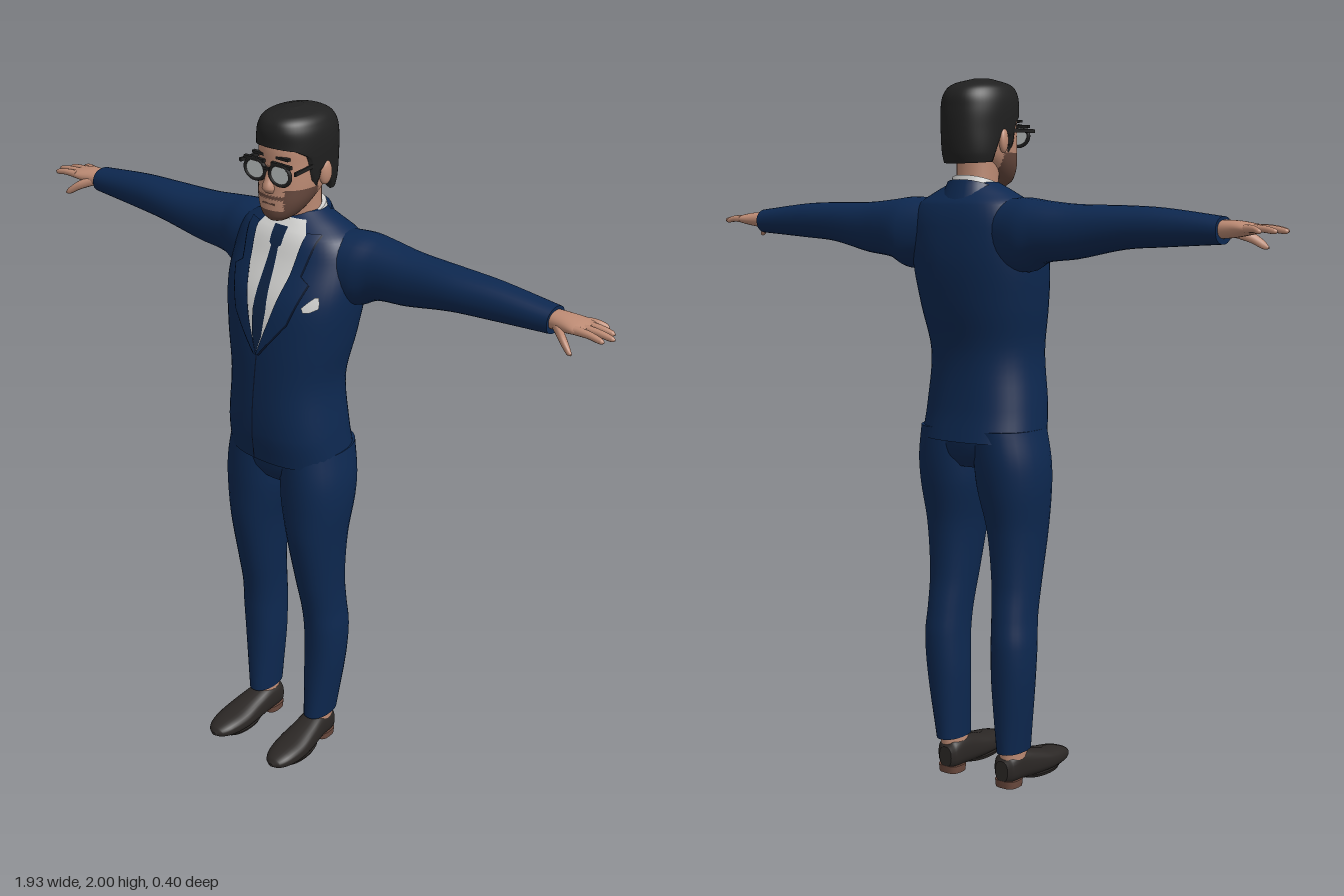
import * as THREE from 'three';

const paint = (name, color) => {
  const m = new THREE.MeshStandardMaterial({ color, side: THREE.DoubleSide });
  m.name = name;
  return m;
};

// Smooth interpolation of rows [t, centreU, centreV, radiusU, radiusV, power] at t
function rowAt(rows, t) {
  let i = 0;
  while (i < rows.length - 2 && t > rows[i + 1][0]) i++;
  const a = rows[i], b = rows[i + 1], h = b[0] - a[0], s = (t - a[0]) / h;
  const slope = (k, c) => {
    const p = rows[Math.max(k - 1, 0)], n = rows[Math.min(k + 1, rows.length - 1)];
    return ((n[c] ?? 2.2) - (p[c] ?? 2.2)) / (n[0] - p[0]);
  };
  return [t, 1, 2, 3, 4, 5].map((v, c) => {
    if (c === 0) return t;
    const s2 = s * s, s3 = s2 * s;
    return (2 * s3 - 3 * s2 + 1) * (a[c] ?? 2.2) + (s3 - 2 * s2 + s) * h * slope(i, c)
      + (3 * s2 - 2 * s3) * (b[c] ?? 2.2) + (s3 - s2) * h * slope(i + 1, c);
  });
}

// Rounded skin over cross-sections along an axis; side -1 mirrors it, map bends it, keep picks faces
function loft(rows, axis, { side = 1, seg = 28, steps = 5, map, keep, caps = true } = {}) {
  const pos = [], idx = [], v = new THREE.Vector3();
  const place = (t, u, w) => {
    if (axis === 'y') v.set(u, t, w);
    else if (axis === 'x') v.set(t, u, w);
    else v.set(u, w, t);
    if (map) map(v);
    pos.push(v.x * side, v.y, v.z);
  };
  const flip = (axis !== 'y') !== (side < 0);
  const tri = (a, b, c) => {
    if (keep) {
      const mid = k => (pos[a * 3 + k] + pos[b * 3 + k] + pos[c * 3 + k]) / 3;
      if (!keep(mid(0), mid(1), mid(2))) return;
    }
    flip ? idx.push(a, c, b) : idx.push(a, b, c);
  };
  const ring = r => {
    const [t, cu, cv, ru, rv, p] = r;
    for (let j = 0; j < seg; j++) {
      const a = j / seg * Math.PI * 2, c = Math.cos(a), s = Math.sin(a);
      place(t, cu + Math.max(ru, 0.001) * Math.sign(c) * Math.abs(c) ** (2 / p),
        cv + Math.max(rv, 0.001) * Math.sign(s) * Math.abs(s) ** (2 / p));
    }
  };
  const n = (rows.length - 1) * steps, samples = [];
  for (let i = 0; i <= n; i++) {
    const k = Math.min(Math.floor(i / steps), rows.length - 2), f = i / steps - k;
    samples.push(rowAt(rows, rows[k][0] + (rows[k + 1][0] - rows[k][0]) * f));
  }
  samples.forEach(ring);
  for (let i = 0; i < n; i++) for (let j = 0; j < seg; j++) {
    const k = (j + 1) % seg, a = i * seg, b = a + seg;
    tri(a + j, b + j, a + k);
    tri(b + j, b + k, a + k);
  }
  if (caps) for (const end of [0, n]) {
    const base = pos.length / 3, r = samples[end];
    ring(r);
    place(r[0], r[1], r[2]);
    for (let j = 0; j < seg; j++) {
      const k = (j + 1) % seg;
      end ? tri(base + j, base + seg, base + k) : tri(base + j, base + k, base + seg);
    }
  }
  const g = new THREE.BufferGeometry();
  g.setAttribute('position', new THREE.Float32BufferAttribute(pos, 3));
  g.setIndex(idx);
  g.computeVertexNormals();
  return g;
}

const TORSO = [[1.008, 0, -0.04, 0.183, 0.14, 2.4], [1.1, 0, -0.025, 0.175, 0.14, 2.4], [1.25, 0, -0.022, 0.163, 0.138, 2.3],
  [1.38, 0, -0.038, 0.185, 0.148, 2.3], [1.5, 0, -0.055, 0.2, 0.145, 2.4], [1.6, 0, -0.075, 0.195, 0.12, 2.5],
  [1.66, 0, -0.08, 0.175, 0.1, 2.4], [1.69, 0, -0.08, 0.13, 0.078, 2.2], [1.72, 0, -0.08, 0.07, 0.055, 2]];

// Thin cloth panel lying on the chest, from rows [y, x from, x to]
function drape(rows, off, side = 1) {
  const pos = [], idx = [], cols = 8, steps = 6, n = (rows.length - 1) * steps;
  for (let i = 0; i <= n; i++) {
    const k = Math.min(Math.floor(i / steps), rows.length - 2), f = i / steps - k;
    const [y, x0, x1] = rows[k].map((v, c) => v + (rows[k + 1][c] - v) * f);
    const [, , cz, rx, rz, p] = rowAt(TORSO, y);
    for (let j = 0; j <= cols; j++) {
      const x = x0 + (x1 - x0) * j / cols;
      pos.push(x * side, y, cz + rz * Math.max(0, 1 - Math.abs(x / rx) ** p) ** (1 / p) + off);
      if (i < n && j < cols) {
        const a = i * (cols + 1) + j, b = a + cols + 1;
        side > 0 ? idx.push(a, a + 1, b, a + 1, b + 1, b) : idx.push(a, b, a + 1, a + 1, b, b + 1);
      }
    }
  }
  const g = new THREE.BufferGeometry();
  g.setAttribute('position', new THREE.Float32BufferAttribute(pos, 3));
  g.setIndex(idx);
  g.computeVertexNormals();
  return g;
}

export function createModel() {
  const model = new THREE.Group();
  const suit = paint('navy suit', 0x0d2850), seam = paint('dark seam', 0x07152c), tieBlue = paint('tie blue', 0x0f2444);
  const shirt = paint('white shirt', 0xd6d6d4), skin = paint('skin', 0xbd8b74), beard = paint('stubble', 0x66483d);
  const hair = paint('black hair', 0x202020), shoe = paint('shoe leather', 0x2b2725), sole = paint('brown sole', 0x6a493d);
  const glass = paint('pale lens', 0xc4c9c9);
  const add = (name, geometry, material, x = 0, y = 0, z = 0) => {
    const m = new THREE.Mesh(geometry, material);
    m.name = name;
    m.position.set(x, y, z);
    model.add(m);
    return m;
  };
  const tilt = k => v => { v.y -= k * (v.z + 0.072); };

  // Jacket body, collars and neck
  add('jacket', loft(TORSO, 'y', { seg: 48 }), suit);
  add('jacketCollar', loft([[1.63, 0, -0.074, 0.11, 0.1], [1.7, 0, -0.072, 0.08, 0.08]], 'y', { map: tilt(0.35) }), suit);
  add('shirtCollar', loft([[1.66, 0, -0.072, 0.08, 0.08], [1.72, 0, -0.072, 0.066, 0.066]], 'y', { map: tilt(0.3) }), shirt);
  add('neck', loft([[1.62, 0, -0.075, 0.058, 0.06], [1.72, 0, -0.07, 0.056, 0.056], [1.81, 0, -0.06, 0.06, 0.065]], 'y'), skin);

  // Shirt front, tie, lapels and pocket square
  add('shirtFront', drape([[1.355, 0, 0], [1.4, -0.022, 0.022], [1.5, -0.052, 0.052], [1.6, -0.078, 0.078],
    [1.67, -0.084, 0.084], [1.705, -0.06, 0.06]], 0.003), shirt);
  add('tie', drape([[1.355, -0.002, 0.002], [1.4, -0.016, 0.016], [1.47, -0.022, 0.022], [1.635, -0.012, 0.012],
    [1.64, -0.02, 0.02], [1.685, -0.022, 0.022]], 0.006), tieBlue);
  const lapel = [[1.345, 0, 0.006], [1.45, 0.036, 0.088], [1.56, 0.067, 0.126], [1.578, 0.071, 0.1], [1.68, 0.083, 0.118]];
  for (const s of [1, -1]) {
    add('lapelEdge', drape(lapel.map(([y, a, b]) => [y - 0.002, a, b + 0.004]), 0.004, s), seam);
    add('lapel', drape(lapel, 0.007, s), suit);
  }
  add('frontOpening', drape([[1.01, -0.024, -0.02], [1.2, -0.014, -0.01], [1.345, -0.002, 0.002]], 0.002), seam);
  add('pocketSquare', drape([[1.488, 0.128, 0.142], [1.5, 0.122, 0.162], [1.515, 0.135, 0.162], [1.53, 0.15, 0.158]], 0.005), shirt);
  add('hips', loft([[0.93, 0, -0.035, 0.1, 0.085], [0.97, 0, -0.038, 0.175, 0.11], [1.05, 0, -0.04, 0.175, 0.12]], 'y'), suit);

  for (const side of [1, -1]) {
    const o = { side };
    // Sleeve and hand
    add('sleeve', loft([[0.1, 1.585, -0.085, 0.09, 0.085], [0.2, 1.58, -0.1, 0.1, 0.09], [0.26, 1.59, -0.105, 0.083, 0.08],
      [0.36, 1.592, -0.1, 0.072, 0.07], [0.5, 1.605, -0.093, 0.057, 0.062], [0.62, 1.607, -0.095, 0.05, 0.053],
      [0.79, 1.603, -0.098, 0.035, 0.042]], 'x', o), suit);
    add('palm', loft([[0.77, 1.605, -0.098, 0.024, 0.03], [0.82, 1.607, -0.096, 0.022, 0.037], [0.86, 1.608, -0.096, 0.016, 0.045],
      [0.888, 1.608, -0.097, 0.009, 0.042]], 'x', o), skin);
    for (const [tip, z0, z1] of [[0.95, -0.064, -0.058], [0.963, -0.087, -0.087], [0.947, -0.109, -0.115], [0.917, -0.129, -0.14]]) {
      add('finger', loft([[0.865, 1.609, z0, 0.011, 0.012], [(0.865 + tip) / 2, 1.609, (z0 + z1) / 2, 0.009, 0.01],
        [tip - 0.008, 1.604, z1, 0.007, 0.007], [tip, 1.603, z1, 0.002, 0.002]], 'x', { side, seg: 12 }), skin);
    }
    add('thumb', loft([[0.8, 1.602, -0.08, 0.014, 0.014], [0.84, 1.586, -0.05, 0.014, 0.013], [0.868, 1.567, -0.034, 0.011, 0.009],
      [0.88, 1.56, -0.03, 0.003, 0.003]], 'x', { side, seg: 12 }), skin);

    // Trouser leg, ankle and shoe
    add('trouserLeg', loft([[0.105, 0.11, -0.045, 0.038, 0.063], [0.3, 0.117, -0.057, 0.057, 0.068], [0.42, 0.12, -0.058, 0.06, 0.073],
      [0.5, 0.116, -0.05, 0.059, 0.074], [0.6, 0.112, -0.035, 0.064, 0.08], [0.75, 0.108, -0.025, 0.078, 0.098],
      [0.87, 0.102, -0.033, 0.097, 0.113], [0.95, 0.099, -0.038, 0.099, 0.119], [1.04, 0.09, -0.042, 0.092, 0.12]], 'y', o), suit);
    add('ankle', loft([[0.06, 0.106, -0.045, 0.034, 0.045], [0.13, 0.109, -0.045, 0.034, 0.048]], 'y', o), skin);
    add('shoe', loft([[-0.095, 0.103, 0.05, 0.022, 0.03, 2.5], [-0.08, 0.104, 0.056, 0.036, 0.042, 2.6], [-0.03, 0.105, 0.058, 0.04, 0.046, 2.6],
      [0.03, 0.11, 0.05, 0.046, 0.04, 2.6], [0.09, 0.113, 0.043, 0.051, 0.032, 2.5], [0.15, 0.115, 0.04, 0.044, 0.025, 2.4],
      [0.185, 0.116, 0.038, 0.028, 0.015, 2.2], [0.198, 0.116, 0.036, 0.008, 0.005, 2]], 'z', o), shoe);
    add('heel', loft([[0, 0.104, -0.06, 0.034, 0.034, 3], [0.022, 0.104, -0.06, 0.036, 0.036, 3]], 'y', { side, steps: 1 }), sole);
    add('outsole', loft([[0.008, 0.112, 0.075, 0.042, 0.075], [0.018, 0.112, 0.075, 0.046, 0.085]], 'y', { side, steps: 1 }), shoe);
  }

  // Head, with stubble along the jaw, chin and upper lip
  const HEAD = [[1.71, 0, 0.018, 0.024, 0.03], [1.725, 0, 0.01, 0.046, 0.05], [1.76, 0, -0.01, 0.069, 0.072], [1.8, 0, -0.035, 0.08, 0.095],
    [1.86, 0, -0.05, 0.084, 0.108], [1.92, 0, -0.055, 0.083, 0.11], [1.96, 0, -0.06, 0.07, 0.09], [1.98, 0, -0.06, 0.03, 0.04]];
  const isBeard = (x, y, z) => z > -0.05 && (Math.abs(x) > 0.042 ? y < 1.8 : y < 1.742 || (y > 1.772 && y < 1.783 && z > 0));
  const fine = { seg: 56, steps: 8 };
  add('face', loft(HEAD, 'y', { ...fine, keep: (x, y, z) => !isBeard(x, y, z) }), skin);
  add('stubble', loft(HEAD, 'y', { ...fine, keep: isBeard }), beard);
  add('mouth', new THREE.BoxGeometry(0.04, 0.004, 0.008), beard, 0, 1.76, 0.058);
  add('nose', loft([[1.79, 0, 0.056, 0.014, 0.01], [1.803, 0, 0.058, 0.018, 0.02], [1.83, 0, 0.056, 0.011, 0.015],
    [1.862, 0, 0.053, 0.009, 0.009]], 'y', { seg: 16 }), skin);

  // Hair, cut off along a hairline that dips at the sideburns and nape
  const line = [[-0.2, 1.768], [-0.1, 1.775], [-0.085, 1.84], [-0.05, 1.865], [-0.04, 1.8], [-0.018, 1.805], [-0.005, 1.885], [0.03, 1.905], [0.1, 1.92]];
  const hairline = z => {
    let i = 0;
    while (i < line.length - 2 && z > line[i + 1][0]) i++;
    const [[a, p], [b, q]] = [line[i], line[i + 1]];
    return p + (q - p) * (z - a) / (b - a);
  };
  add('hair', loft([[1.765, 0, -0.09, 0.076, 0.075], [1.8, 0, -0.075, 0.086, 0.1], [1.86, 0, -0.06, 0.092, 0.12], [1.92, 0, -0.058, 0.094, 0.12],
    [1.96, 0, -0.055, 0.086, 0.114], [1.985, 0, -0.05, 0.066, 0.088], [2, 0, -0.045, 0.02, 0.03]], 'y',
  { ...fine, map: v => { v.y = Math.max(v.y, hairline(v.z)); } }), hair);

  // Ears, brows and spectacles
  for (const s of [1, -1]) {
    const ear = add('ear', new THREE.SphereGeometry(1, 16, 12), skin, s * 0.087, 1.832, -0.066);
    ear.scale.set(0.012, 0.034, 0.02);
    ear.rotation.y = s * -0.3;
    add('eyebrow', new THREE.BoxGeometry(0.042, 0.007, 0.012), hair, s * 0.04, 1.887, 0.05);
    const rim = add('spectacleRim', new THREE.TorusGeometry(0.032, 0.0055, 8, 28), hair, s * 0.042, 1.847, 0.064);
    rim.scale.set(1.06, 0.88, 0.9);
    const lens = add('lens', new THREE.CylinderGeometry(0.031, 0.031, 0.004, 28), glass, s * 0.042, 1.847, 0.064);
    lens.rotation.x = Math.PI / 2;
    lens.scale.set(1.06, 1, 0.88);
    add('browBar', new THREE.BoxGeometry(0.066, 0.009, 0.01), hair, s * 0.046, 1.873, 0.063);
    add('temple', new THREE.BoxGeometry(0.006, 0.01, 0.125), hair, s * 0.087, 1.86, 0.004).rotation.y = s * 0.1;
  }
  add('spectacleBridge', new THREE.BoxGeometry(0.022, 0.007, 0.008), hair, 0, 1.857, 0.068);
  return model;
}
